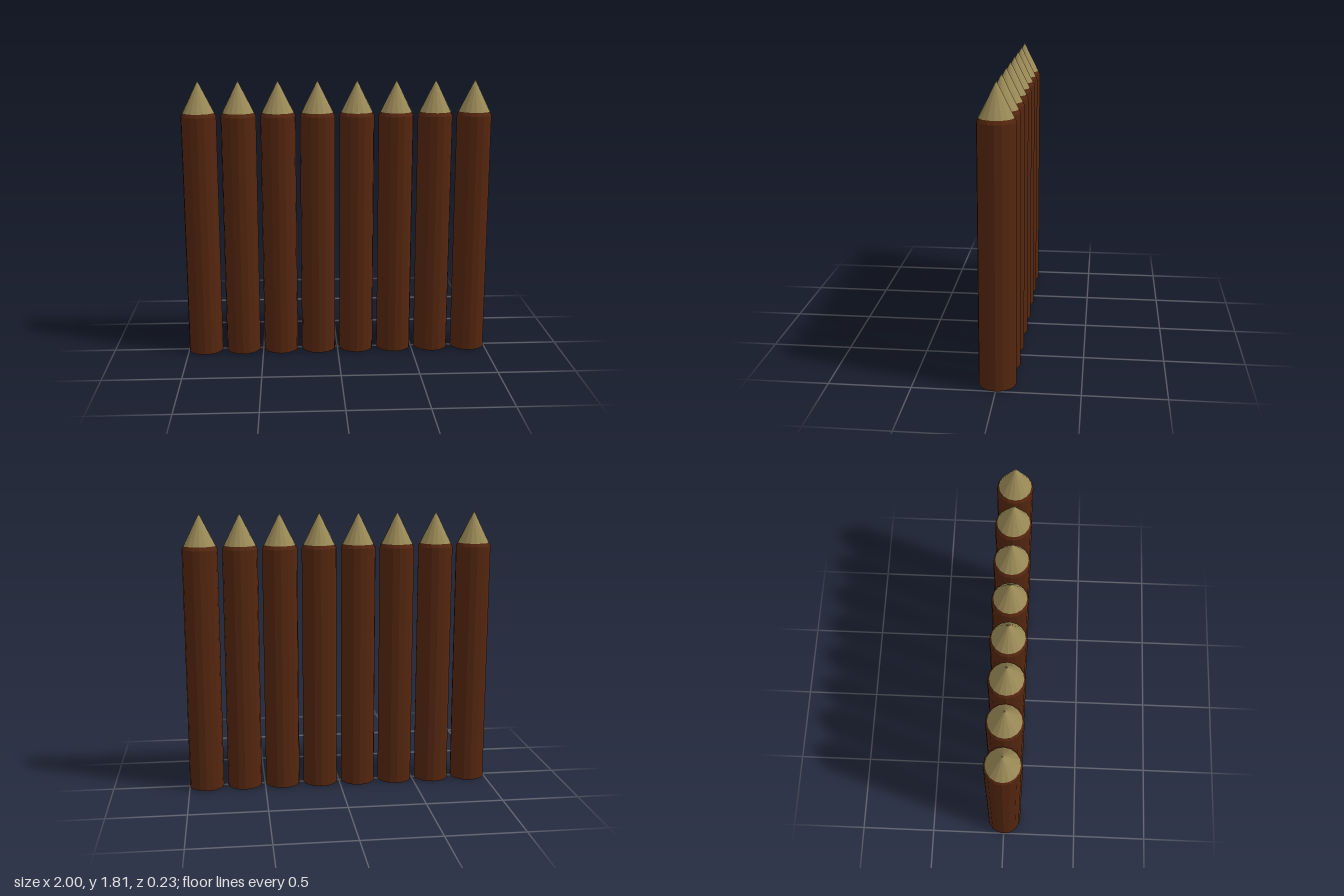
import * as THREE from 'three';

const SIDES = 16;
const RADIUS = 0.113;
const SHOULDER = 1.58; // where the taper begins
const BARK_TOP = 1.603; // where the bark gives way to bare wood
const TIP = 1.807;
const COUNT = 8;

export function createModel() {
  const bark = new THREE.MeshStandardMaterial({ color: 0x54260f, flatShading: true, side: THREE.DoubleSide });
  bark.name = 'bark brown';
  const wood = new THREE.MeshStandardMaterial({ color: 0x9c8b58, flatShading: true, side: THREE.DoubleSide });
  wood.name = 'bare wood';

  // Hollow log with a short bark bevel, and the sharpened point above it
  const bevelRadius = RADIUS * (TIP - BARK_TOP) / (TIP - SHOULDER);
  const logGeometry = new THREE.LatheGeometry([
    new THREE.Vector2(RADIUS, 0),
    new THREE.Vector2(RADIUS, SHOULDER),
    new THREE.Vector2(bevelRadius, BARK_TOP),
  ], SIDES);
  const pointGeometry = new THREE.ConeGeometry(bevelRadius, TIP - BARK_TOP, SIDES, 1, true);
  pointGeometry.translate(0, (TIP + BARK_TOP) / 2, 0);

  // Row of identical stakes
  const palisade = new THREE.Group();
  palisade.name = 'palisade';
  const spacing = (2 - 2 * RADIUS) / (COUNT - 1);
  for (let i = 0; i < COUNT; i++) {
    const stake = new THREE.Group();
    stake.name = `stake${i + 1}`;
    const log = new THREE.Mesh(logGeometry, bark);
    log.name = 'log';
    const point = new THREE.Mesh(pointGeometry, wood);
    point.name = 'sharpenedPoint';
    stake.add(log, point);
    stake.position.x = -1 + RADIUS + i * spacing;
    palisade.add(stake);
  }
  return palisade;
}
